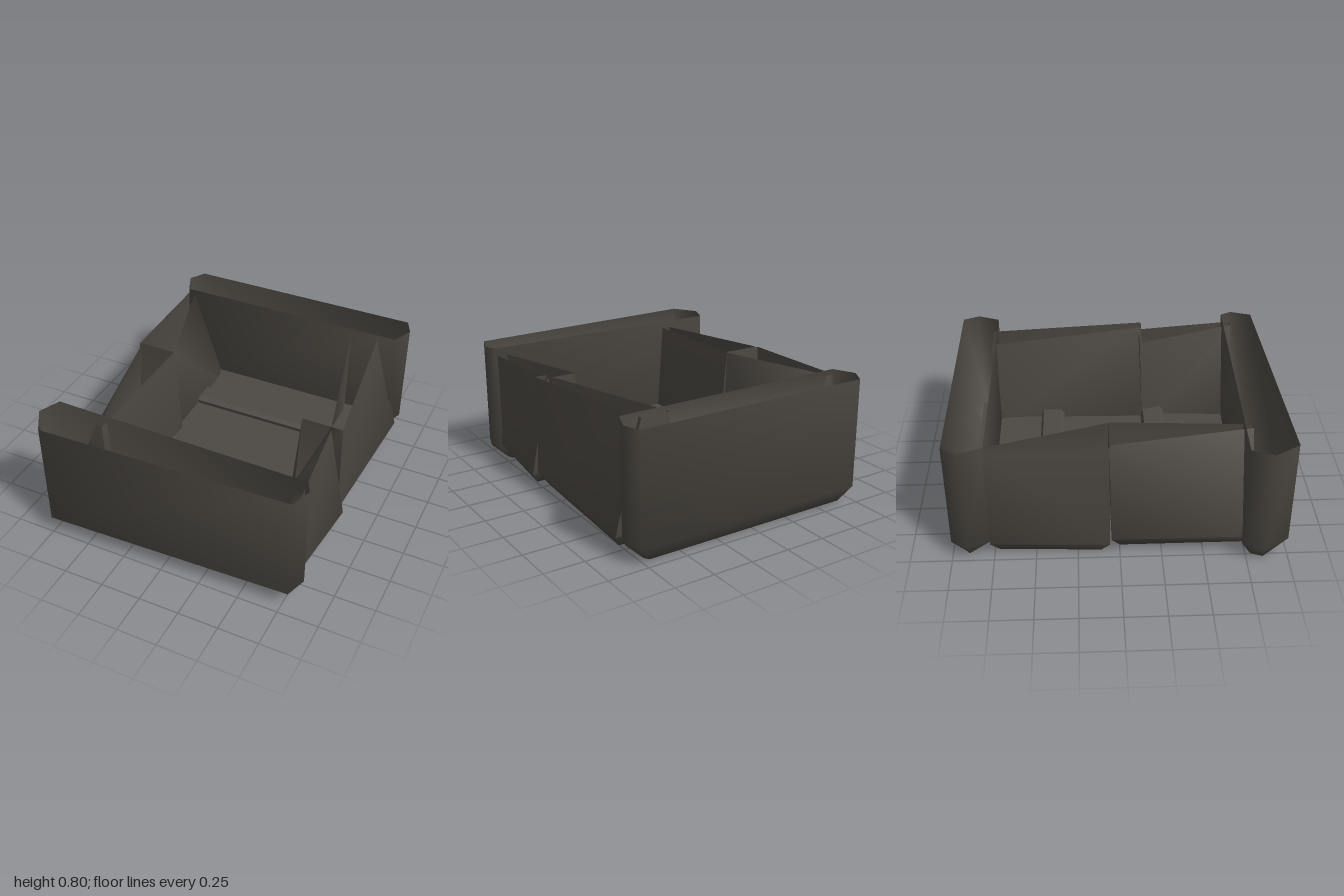
import * as THREE from 'three';
import { toCreasedNormals } from 'three/addons/utils/BufferGeometryUtils.js';

const stone = new THREE.MeshStandardMaterial({ color: 0x4c4842, side: THREE.DoubleSide });
stone.name = 'darkStone';

// Open-topped shell: rings of [x, y, z] from bottom to rim, with a closed bottom.
function shell(name, rings) {
  const n = rings[0].length;
  const pos = rings.flat(2);
  const mid = [0, 1, 2].map(k => rings[0].reduce((s, p) => s + p[k], 0) / n);
  pos.push(...mid);
  const index = [], centre = rings.length * n;
  for (let i = 0; i < n; i++) {
    const j = (i + 1) % n;
    index.push(centre, j, i);
    for (let r = 0; r < rings.length - 1; r++) {
      const a = r * n + i, b = r * n + j;
      index.push(a, b, b + n, a, b + n, a + n);
    }
  }
  const g = new THREE.BufferGeometry();
  g.setAttribute('position', new THREE.Float32BufferAttribute(pos, 3));
  g.setIndex(index);
  const mesh = new THREE.Mesh(toCreasedNormals(g, 1.35), stone);
  mesh.name = name;
  return mesh;
}

// End slab: a faceted plan outline, chamfered toward a narrow foot.
function slab(name, outline, foot) {
  const at = (pts, y) => pts.map(([x, z]) => [x, y, z]);
  return shell(name, [at(foot, 0.01), at(outline, 0.12), at(outline, 0.8)]);
}

// Side block with a twisted, leaning rim; side is 1 for +x and -1 for -x.
// Every end is [inner x, outer x, z, y], measured outward from the middle.
function sideBlock(name, side, baseFront, baseBack, rimFront, rimBack) {
  const ring = (f, b, inset = 0, lift = 0) => [
    [f[0] + inset, f[3] + lift, f[2] - inset], [f[1] - inset, f[3] + lift, f[2] - inset],
    [b[1] - inset, b[3] + lift, b[2] + inset], [b[0] + inset, b[3] + lift, b[2] + inset],
  ];
  const block = shell(name, [
    ring(baseFront, baseBack, 0.05),
    ring(baseFront, baseBack, 0, 0.08),
    ring(rimFront, rimBack),
  ]);
  block.scale.x = side;
  return block;
}

export function createModel() {
  const model = new THREE.Group();
  model.name = 'stoneTrough';

  // End slabs
  model.add(slab('frontSlab',
    [[-0.845, 0.85], [-0.75, 1], [0.79, 0.95], [0.835, 0.82], [0.8, 0.75], [-0.79, 0.72]],
    [[-0.78, 0.85], [-0.73, 0.89], [0.7, 0.85], [0.72, 0.82], [0.7, 0.78], [-0.75, 0.78]]));
  model.add(slab('backSlab',
    [[-0.71, -0.765], [0.78, -0.765], [0.835, -0.9], [0.79, -1], [-0.71, -1], [-0.77, -0.9]],
    [[-0.66, -0.87], [0.7, -0.87], [0.72, -0.9], [0.7, -0.93], [-0.66, -0.93], [-0.69, -0.9]]));

  // Leaning side blocks
  model.add(sideBlock('leftFrontBlock', 1,
    [0.46, 0.79, 0.81, 0.07], [0.48, 0.835, 0.2, 0.05],
    [0.74, 0.79, 0.81, 0.75], [0.53, 0.72, 0.18, 0.74]));
  model.add(sideBlock('leftBackBlock', 1,
    [0.46, 0.8, 0.2, 0.06], [0.47, 0.835, -0.8, 0.04],
    [0.72, 0.79, 0.2, 0.755], [0.48, 0.66, -0.79, 0.775]));
  model.add(sideBlock('rightFrontBlock', -1,
    [0.43, 0.76, 0.8, 0.07], [0.4, 0.74, -0.05, 0.05],
    [0.47, 0.51, 0.78, 0.755], [0.45, 0.68, -0.06, 0.775]));
  model.add(sideBlock('rightBackBlock', -1,
    [0.43, 0.73, -0.06, 0.005], [0.44, 0.73, -0.77, 0.03],
    [0.45, 0.7, -0.06, 0.77], [0.67, 0.71, -0.77, 0.77]));

  // Thin floor sheet
  const floor = new THREE.Mesh(new THREE.BoxGeometry(1.31, 0.008, 1.65), stone);
  floor.name = 'floor';
  floor.position.set(0.035, 0.19, -0.075);
  model.add(floor);

  // Two chamfered cross bars
  const profile = new THREE.Shape([
    [-0.08, 0.18], [-0.06, 0.24], [0.055, 0.24], [0.08, 0.22],
    [0.065, 0.15], [0.045, 0.12], [-0.045, 0.12], [-0.07, 0.15],
  ].map(([z, y]) => new THREE.Vector2(-z, y)));
  const barGeometry = new THREE.ExtrudeGeometry(profile, { depth: 1.12, bevelEnabled: false });
  barGeometry.translate(0, 0, -0.56).rotateY(Math.PI / 2);
  for (const [name, x, z] of [['backBar', 0.13, -0.415], ['frontBar', 0.15, 0.265]]) {
    const bar = new THREE.Mesh(barGeometry, stone);
    bar.name = name;
    bar.position.set(x, 0, z);
    model.add(bar);
  }
  return model;
}
